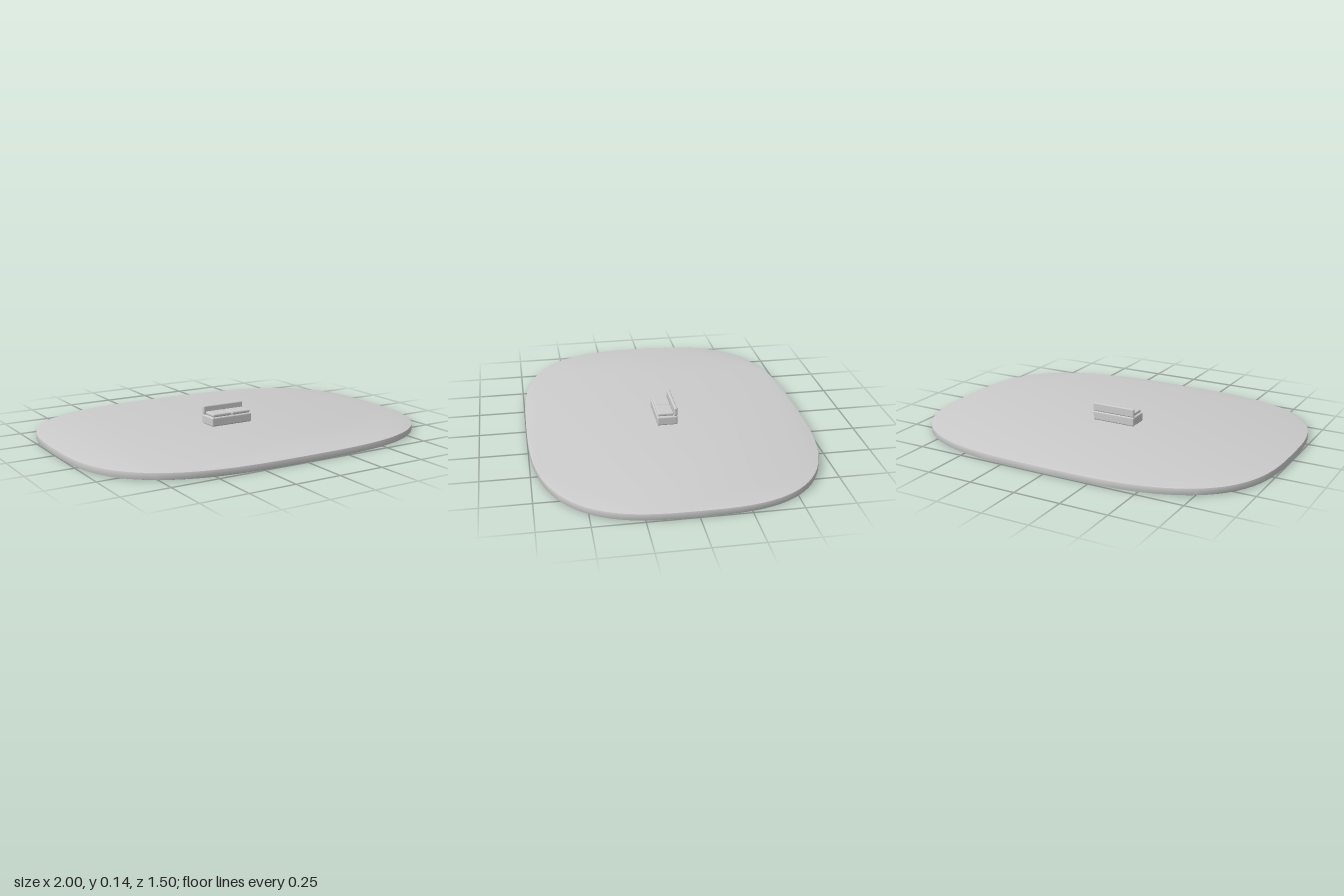
import * as THREE from 'three';
import { toCreasedNormals } from 'three/addons/utils/BufferGeometryUtils.js';
import { RoundedBoxGeometry } from 'three/addons/geometries/RoundedBoxGeometry.js';

const material = new THREE.MeshStandardMaterial({ color: 0xcccccc });

function add(group, name, geometry, x = 0, y = 0, z = 0) {
  const mesh = new THREE.Mesh(geometry, material);
  mesh.name = name;
  mesh.position.set(x, y, z);
  group.add(mesh);
}

// Rounded block given by its lower and upper y and its back and front z
function block(group, name, x, width, y0, y1, z0, z1, radius) {
  const geometry = new RoundedBoxGeometry(width, y1 - y0, z1 - z0, 3, radius);
  add(group, name, geometry, x, (y0 + y1) / 2, (z0 + z1) / 2);
}

// Superellipse outline: |x/a|^3 + |z/b|^3 = 1
function superellipse(a, b, steps) {
  const points = [];
  const bend = (v) => Math.sign(v) * Math.abs(v) ** (2 / 3);
  for (let i = 0; i < steps; i++) {
    const t = (i / steps) * Math.PI * 2;
    points.push(new THREE.Vector2(a * bend(Math.cos(t)), b * bend(Math.sin(t))));
  }
  return new THREE.Shape(points);
}

export function createModel() {
  const model = new THREE.Group();
  model.name = 'sofaOnPlatform';

  // Platform slab with a fine bevelled rim
  const bevel = 0.003;
  const slab = new THREE.ExtrudeGeometry(superellipse(1 - bevel, 0.75 - bevel, 96), {
    depth: 0.035 - 2 * bevel,
    bevelThickness: bevel,
    bevelSize: bevel,
    bevelSegments: 2,
  });
  slab.rotateX(-Math.PI / 2);
  add(model, 'platform', toCreasedNormals(slab, 0.6), 0, bevel, 0);

  // Small two-seat sofa
  const sofa = new THREE.Group();
  sofa.name = 'sofa';
  block(sofa, 'sofaBase', 0, 0.25, 0.04, 0.09, -0.055, 0.055, 0.008);
  block(sofa, 'backrest', 0, 0.25, 0.09, 0.138, -0.054, -0.036, 0.007);
  for (const side of [-1, 1]) {
    const name = side > 0 ? 'leftSeatCushion' : 'rightSeatCushion';
    block(sofa, name, side * 0.059, 0.114, 0.09, 0.108, -0.036, 0.051, 0.007);
  }
  model.add(sofa);

  return model;
}
